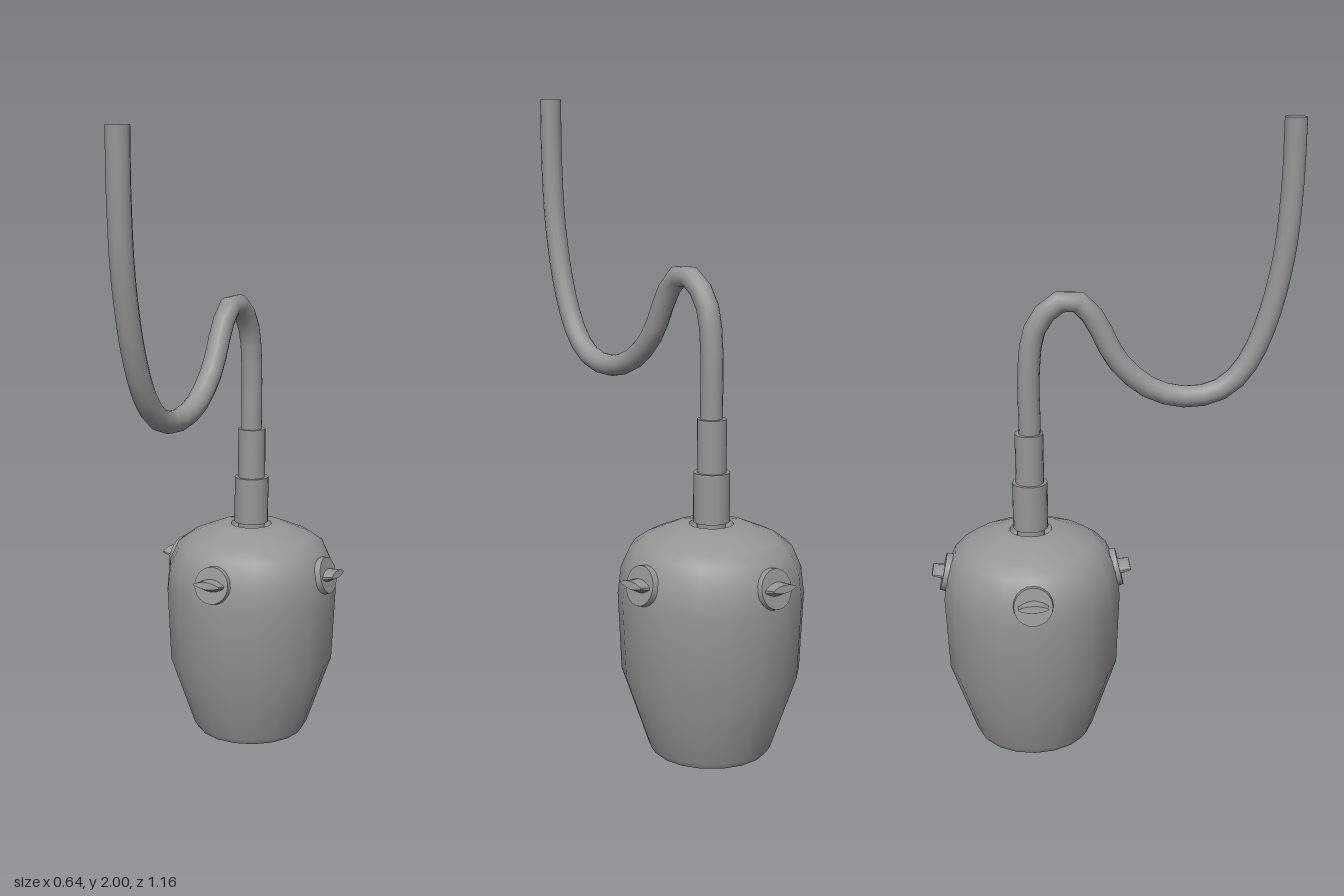
import * as THREE from 'three';

const AXIS_Z = -0.258; // vertical axis of the body

export function createModel() {
  const model = new THREE.Group();
  const mat = new THREE.MeshStandardMaterial({ color: 0x969696 });
  const openMat = new THREE.MeshStandardMaterial({ color: 0x969696, side: THREE.DoubleSide });

  const add = (parent, name, geometry, x = 0, y = 0, z = 0, material = mat) => {
    const mesh = new THREE.Mesh(geometry, material);
    mesh.name = name;
    mesh.position.set(x, y, z);
    parent.add(mesh);
    return mesh;
  };
  const lathe = (points, sides) =>
    new THREE.LatheGeometry(points.map(([r, y]) => new THREE.Vector2(r, y)), sides, Math.PI / 2);

  // Tapered body with rounded shoulders, and its flat base
  add(model, 'body', lathe([
    [0.181, 0], [0.194, 0.02], [0.275, 0.255], [0.286, 0.495], [0.276, 0.58],
    [0.247, 0.645], [0.205, 0.675], [0.112, 0.714], [0.068, 0.715],
  ], 18), 0, 0, AXIS_Z);
  const base = add(model, 'bodyBase', new THREE.CircleGeometry(0.181, 18), 0, 0, AXIS_Z);
  base.rotation.x = Math.PI / 2;

  // Shallow socket in the top where the neck enters
  add(model, 'neckSocket', lathe([[0.068, 0.715], [0.06, 0.69], [0, 0.69]], 18), 0, 0, AXIS_Z);

  // Stepped collars gripping the hose
  const collar = (name, r, y0, y1) =>
    add(model, name, new THREE.CylinderGeometry(r, r, y1 - y0, 18), 0, (y0 + y1) / 2, AXIS_Z);
  collar('neck', 0.045, 0.68, 0.73);
  collar('lowerCollar', 0.056, 0.722, 0.875);
  collar('upperCollar', 0.045, 0.87, 1.038);

  // Hollow hose: rises, loops over, sags and climbs to its open end at the front
  const path = new THREE.CatmullRomCurve3([
    [-0.255, 0.9], [-0.255, 1.07], [-0.255, 1.236], [-0.235, 1.369], [-0.182, 1.441],
    [-0.127, 1.462], [-0.083, 1.443], [-0.042, 1.385], [0.021, 1.266], [0.125, 1.175],
    [0.244, 1.146], [0.345, 1.17], [0.412, 1.233], [0.473, 1.36], [0.525, 1.58],
    [0.543, 1.8], [0.545, 2],
  ].map(([z, y]) => new THREE.Vector3(0, y, z)));
  add(model, 'hose', new THREE.TubeGeometry(path, 36, 0.0345, 14), 0, 0, 0, openMat);

  // Lens-shaped knob grip, thinning towards its tip
  const lens = new THREE.Shape();
  lens.moveTo(-0.046, 0.005);
  lens.quadraticCurveTo(0, 0.045, 0.046, 0.005);
  lens.lineTo(0.046, -0.005);
  lens.quadraticCurveTo(0, -0.045, -0.046, -0.005);
  lens.closePath();
  const gripDepth = 0.055;
  const gripGeo = new THREE.ExtrudeGeometry(lens, { depth: gripDepth, bevelEnabled: false, curveSegments: 8 });
  const pos = gripGeo.attributes.position;
  for (let i = 0; i < pos.count; i++) {
    pos.setY(i, pos.getY(i) * (1 - 0.55 * pos.getZ(i) / gripDepth));
  }
  gripGeo.computeVertexNormals();
  const discGeo = new THREE.CylinderGeometry(0.06, 0.064, 0.036, 20).rotateX(Math.PI / 2);

  // Four knobs around the shoulder, tilted to follow the wall
  for (let i = 0; i < 4; i++) {
    const arm = new THREE.Group();
    arm.name = 'knob' + ['Front', 'Left', 'Back', 'Right'][i];
    arm.position.z = AXIS_Z;
    arm.rotation.y = i * Math.PI / 2;
    const knob = new THREE.Group();
    knob.name = 'knobAssembly';
    knob.position.set(0, 0.572, 0.276);
    knob.rotation.x = -0.23;
    add(knob, 'knobDisc', discGeo, 0, 0, -0.01);
    add(knob, 'knobGrip', gripGeo, 0, 0, -0.012);
    arm.add(knob);
    model.add(arm);
  }
  return model;
}
